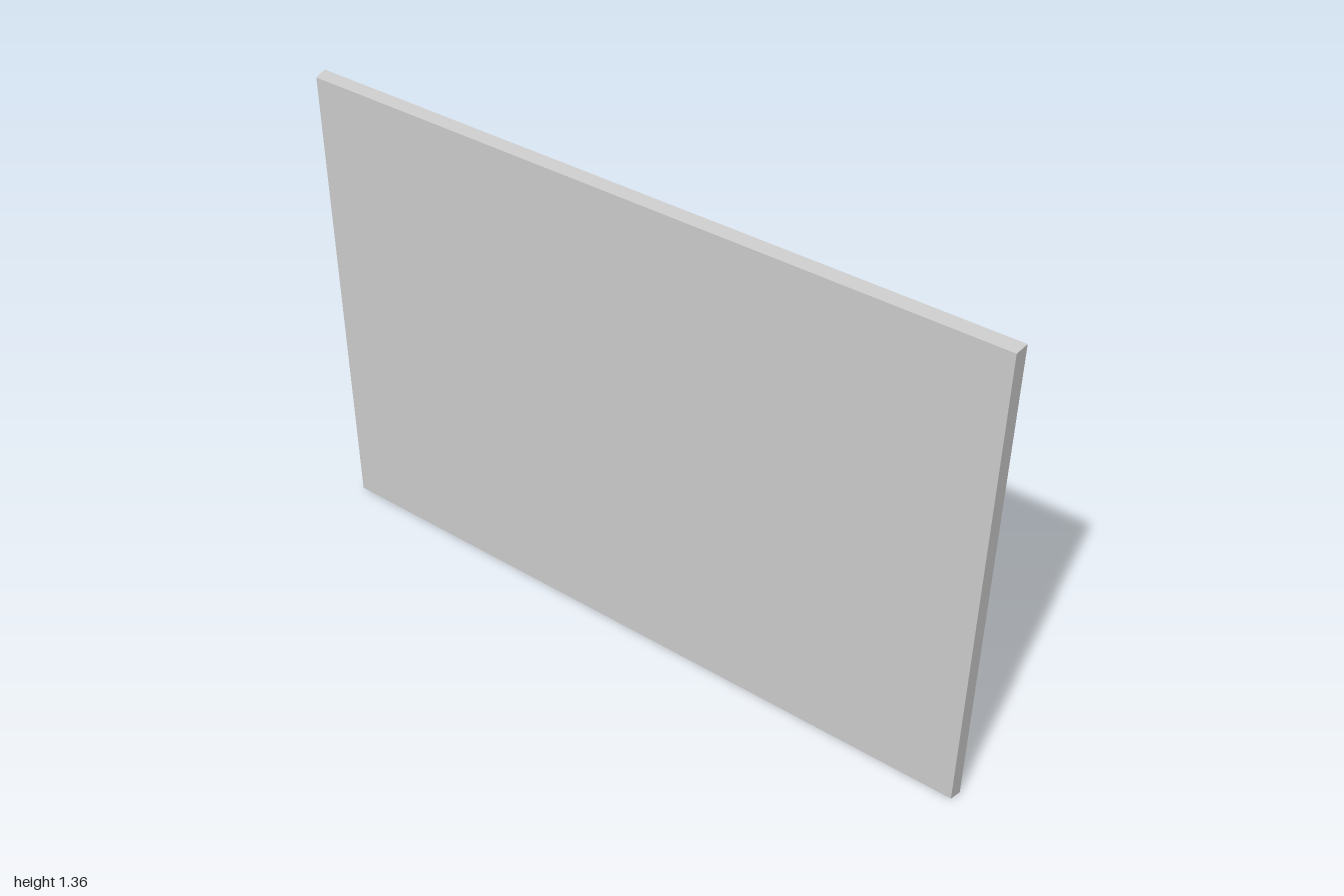
import * as THREE from 'three';

// Closed solid lofted through rectangles [x0, x1, y0, y1, z], listed from back to front
function loftRects(rects) {
  const pos = [];
  const rings = rects.map(([x0, x1, y0, y1, z]) => [[x0, y0, z], [x1, y0, z], [x1, y1, z], [x0, y1, z]]);
  const quad = (a, b, c, d) => pos.push(...a, ...b, ...c, ...a, ...c, ...d);
  for (let r = 0; r < rings.length - 1; r++) {
    const A = rings[r], B = rings[r + 1];
    for (let i = 0; i < 4; i++) {
      const j = (i + 1) % 4;
      quad(A[i], A[j], B[j], B[i]);
    }
  }
  const back = rings[0], front = rings[rings.length - 1];
  quad(back[3], back[2], back[1], back[0]);
  quad(...front);
  const geometry = new THREE.BufferGeometry();
  geometry.setAttribute('position', new THREE.Float32BufferAttribute(pos, 3));
  geometry.computeVertexNormals();
  return geometry;
}

export function createModel() {
  const group = new THREE.Group();
  const material = new THREE.MeshStandardMaterial({ color: 0xcccccc, flatShading: true });
  const add = (name, rects) => {
    const mesh = new THREE.Mesh(loftRects(rects), material);
    mesh.name = name;
    group.add(mesh);
  };

  // Thin panel: the back rises very slightly toward the block, the front edge is a little smaller
  add('panel', [
    [-0.22, 0.215, 0.534, 0.829, 0.008],
    [-1, 1, 0, 1.36, 0.012],
    [-0.995, 0.995, 0.006, 1.354, 0.048],
  ]);

  // Mounting block on the back
  add('mountingBlock', [
    [-0.22, 0.215, 0.534, 0.829, -0.048],
    [-0.22, 0.215, 0.534, 0.829, 0.01],
  ]);

  return group;
}
